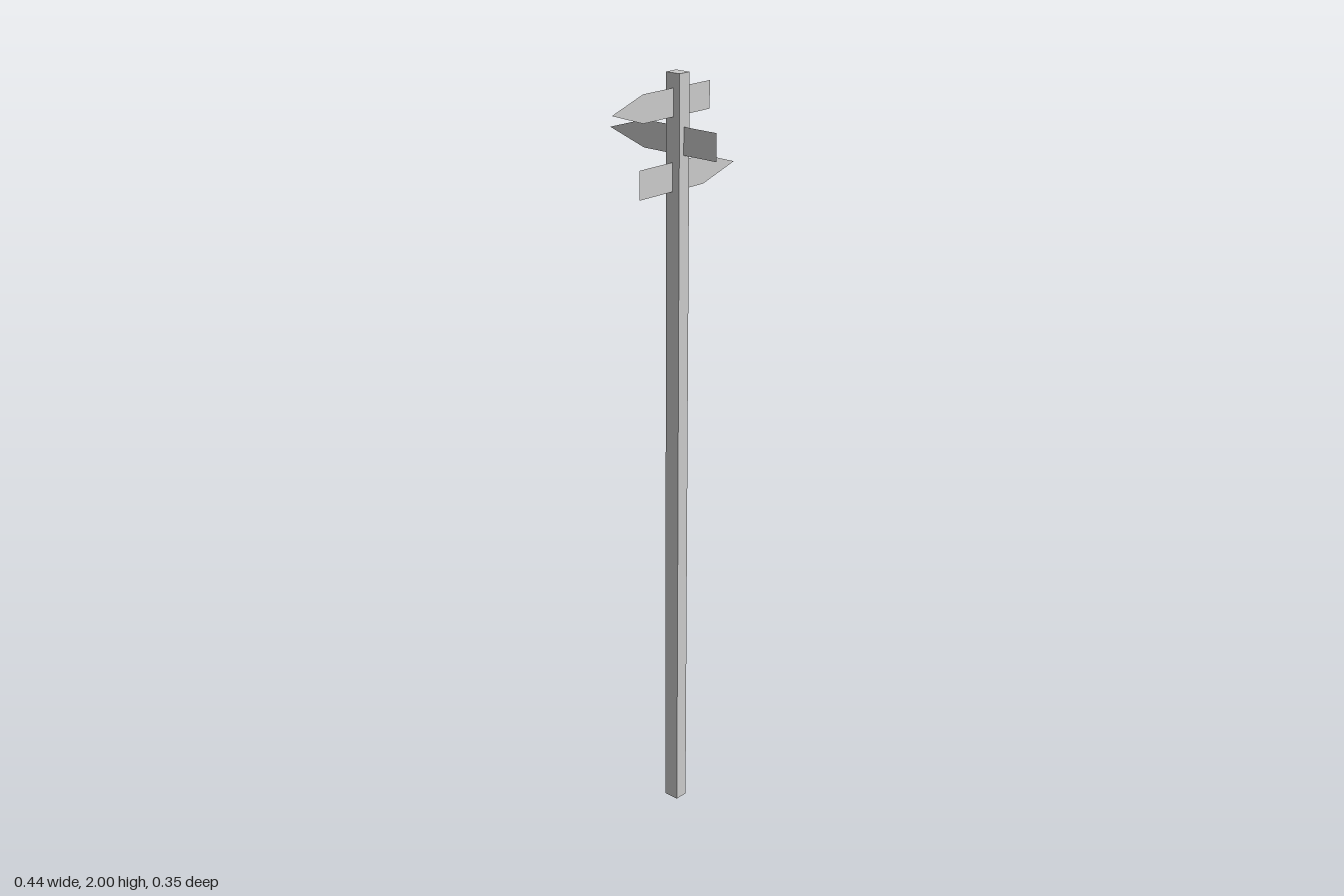
import * as THREE from 'three';

export function createModel() {
  const group = new THREE.Group();
  const postMaterial = new THREE.MeshStandardMaterial({ color: 0xcccccc, flatShading: true });
  const signMaterial = new THREE.MeshStandardMaterial({
    color: 0xcccccc, flatShading: true, side: THREE.DoubleSide,
  });

  // Square post
  const post = new THREE.Mesh(new THREE.BoxGeometry(0.036, 2, 0.043), postMaterial);
  post.name = 'post';
  post.position.set(0.01, 1, 0.048);
  group.add(post);

  // Thin arrow board: flat tail, straight body, tapered tip along its local +x
  function addSign(name, tail, shoulder, tip, height, position, turn) {
    const h = height / 2;
    const shape = new THREE.Shape([
      new THREE.Vector2(tail, -h),
      new THREE.Vector2(shoulder, -h),
      new THREE.Vector2(tip, 0),
      new THREE.Vector2(shoulder, h),
      new THREE.Vector2(tail, h),
    ]);
    const sign = new THREE.Mesh(new THREE.ShapeGeometry(shape), signMaterial);
    sign.name = name;
    sign.position.set(...position);
    sign.rotation.y = turn;
    group.add(sign);
  }

  // Boards pointing right, back and left, from top to bottom
  addSign('upperSign', -0.125, 0.115, 0.222, 0.07, [0, 1.929, 0.05], Math.PI);
  addSign('middleSign', -0.174, 0.061, 0.176, 0.07, [0.008, 1.835, 0], Math.PI / 2);
  addSign('lowerSign', -0.127, 0.105, 0.222, 0.073, [0, 1.746, 0.048], 0);

  return group;
}
